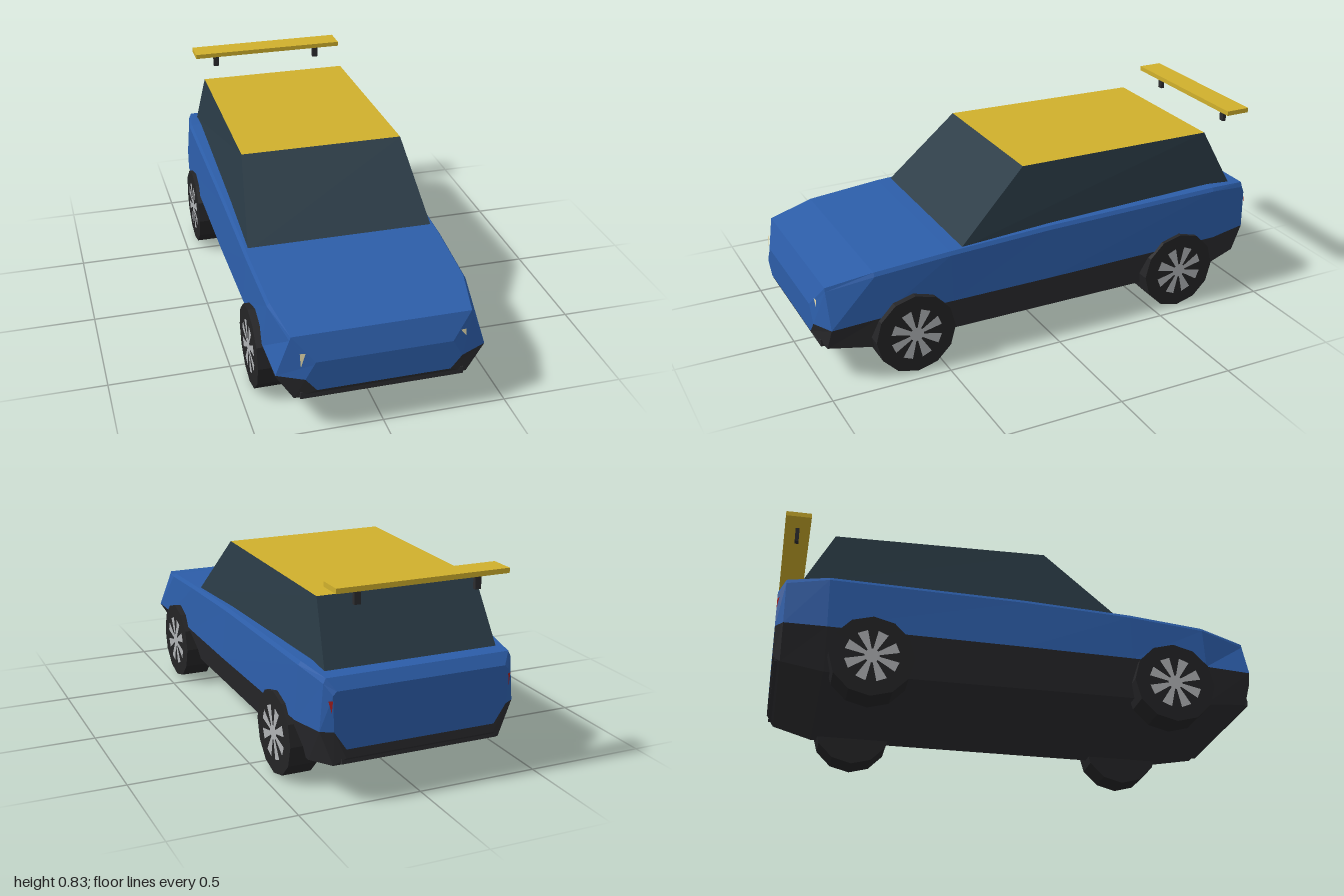
import * as THREE from 'three';

const paint = (color, side = THREE.FrontSide) => new THREE.MeshStandardMaterial({ color, side, flatShading: true });
const blue = paint(0x2c5da8), dark = paint(0x2c2c2f), glass = paint(0x2a3b46), yellow = paint(0xd0b02c);
const tyre = paint(0x242426), silver = paint(0xb0b2b5, THREE.DoubleSide);
const cream = paint(0xe6dcae, THREE.DoubleSide), red = paint(0xa01c1c, THREE.DoubleSide);

// Flat convex polygons, corners anticlockwise seen from outside
function polygons(faces) {
  const pos = [];
  for (const f of faces)
    for (let i = 1; i < f.length - 1; i++) pos.push(...f[0], ...f[i], ...f[i + 1]);
  const g = new THREE.BufferGeometry();
  g.setAttribute('position', new THREE.Float32BufferAttribute(pos, 3));
  g.computeVertexNormals();
  return g;
}

// Quads joining successive rows of points
function loftFaces(rows) {
  const faces = [];
  for (let i = 0; i < rows.length - 1; i++)
    for (let j = 0; j < rows[i].length - 1; j++)
      faces.push([rows[i][j], rows[i + 1][j], rows[i + 1][j + 1], rows[i][j + 1]]);
  return faces;
}

function add(parent, name, geometry, material, x = 0, y = 0, z = 0) {
  const mesh = new THREE.Mesh(geometry, material);
  mesh.name = name;
  mesh.position.set(x, y, z);
  parent.add(mesh);
  return mesh;
}

// Rear to front: z, sill half-width and height, waist, shoulder, top
const stations = [
  [-1.00, 0.31, 0.19, 0.36, 0.30, 0.365, 0.44, 0.35, 0.455],
  [-0.97, 0.35, 0.155, 0.405, 0.298, 0.39, 0.48, 0.38, 0.50],
  [-0.80, 0.375, 0.115, 0.43, 0.285, 0.415, 0.50, 0.405, 0.515],
  [0.00, 0.375, 0.115, 0.43, 0.275, 0.412, 0.485, 0.402, 0.50],
  [0.45, 0.375, 0.115, 0.425, 0.27, 0.41, 0.465, 0.40, 0.48],
  [0.77, 0.375, 0.115, 0.42, 0.265, 0.40, 0.44, 0.39, 0.455],
  [0.96, 0.345, 0.14, 0.415, 0.255, 0.36, 0.40, 0.355, 0.415],
  [1.00, 0.265, 0.19, 0.31, 0.245, 0.275, 0.305, 0.27, 0.315],
];

function wheel() {
  const g = new THREE.Group();
  g.name = 'wheel';
  const r = 0.17;
  add(g, 'tyre', new THREE.CylinderGeometry(r, r, 0.12, 12).rotateZ(-Math.PI / 2), tyre);
  const out = 0.0615;
  add(g, 'hub', new THREE.CircleGeometry(0.03, 12).rotateY(Math.PI / 2), silver, out);
  // Spokes that widen towards the rim
  const spokes = [];
  for (let i = 0; i < 8; i++) {
    const a = (i + 0.5) * Math.PI / 4;
    const p = (rad, d) => [out, rad * Math.cos(a + d), rad * Math.sin(a + d)];
    spokes.push([p(0.024, -0.3), p(0.11, -0.2), p(0.11, 0.2), p(0.024, 0.3)]);
  }
  add(g, 'spokes', polygons(spokes), silver);
  return g;
}

export function createModel() {
  const car = new THREE.Group();
  car.name = 'car';

  // Painted upper body with nose and tail panels
  const upper = stations.map(([z, , , m, my, s, sy, t, ty]) =>
    [[-m, my, z], [-s, sy, z], [-t, ty, z], [t, ty, z], [s, sy, z], [m, my, z]]);
  const lower = stations.map(([z, b, by, m, my]) =>
    [[m, my, z], [b, by, z], [-b, by, z], [-m, my, z]]);
  const last = stations.length - 1;
  const nose = [...upper[last]].reverse().concat([lower[last][2], lower[last][1]]);
  const tail = [...upper[0], [0.31, 0.225, -1], [-0.31, 0.225, -1]];
  add(car, 'upperBody', polygons([...loftFaces(upper), nose, tail]), blue);

  // Dark sills, floor and bumper bars
  const tailLower = [[-0.31, 0.19, -1], [-0.36, 0.30, -1], [-0.31, 0.225, -1], [0.31, 0.225, -1], [0.36, 0.30, -1], [0.31, 0.19, -1]];
  const [a, b, c, d, e, f] = tailLower;
  add(car, 'lowerBody', polygons([...loftFaces(lower), [a, b, c], [a, c, d, f], [d, e, f]]), dark);
  add(car, 'frontBumper', new THREE.BoxGeometry(0.65, 0.03, 0.06), dark, 0, 0.16, 0.95);
  add(car, 'rearBumper', new THREE.BoxGeometry(0.65, 0.03, 0.06), dark, 0, 0.18, -0.962);

  // Window cabin and roof
  const base = [[0.39, 0.475, 0.40], [0.36, 0.50, -0.915], [-0.36, 0.50, -0.915], [-0.39, 0.475, 0.40]];
  const roof = [[0.345, 0.76, 0.10], [0.335, 0.75, -0.785], [-0.335, 0.75, -0.785], [-0.345, 0.76, 0.10]];
  add(car, 'windows', polygons(loftFaces([[...roof, roof[0]], [...base, base[0]]]).map(q => q.reverse())), glass);
  add(car, 'roof', polygons([roof]), yellow);
  // Windows face outwards whichever way the ring runs
  glass.side = THREE.DoubleSide;

  // Rear wing on two posts
  add(car, 'wing', new THREE.BoxGeometry(0.706, 0.02, 0.106), yellow, 0, 0.825, -0.942);
  for (const s of [-1, 1])
    add(car, 'wingPost', new THREE.BoxGeometry(0.025, 0.065, 0.016), dark, s * 0.248, 0.785, -0.942);

  // Slivers of lamp at the corners
  add(car, 'leftHeadlight', polygons([[[0.303, 0.354, 0.989], [0.325, 0.325, 0.989], [0.325, 0.354, 0.987]]]), cream);
  add(car, 'rightHeadlight', polygons([[[-0.328, 0.354, 0.987], [-0.325, 0.295, 0.992], [-0.306, 0.354, 0.989]]]), cream);
  for (const s of [-1, 1])
    add(car, 'tailLight', polygons([[[s * 0.365, 0.42, -1.0], [s * 0.38, 0.42, -0.992], [s * 0.37, 0.375, -1.0]]]), red);

  // Wheels
  for (const s of [-1, 1])
    for (const z of [-0.62, 0.62]) {
      const w = wheel();
      w.position.set(s * 0.384, 0.17, z);
      if (s < 0) w.rotation.y = Math.PI;
      car.add(w);
    }
  return car;
}
